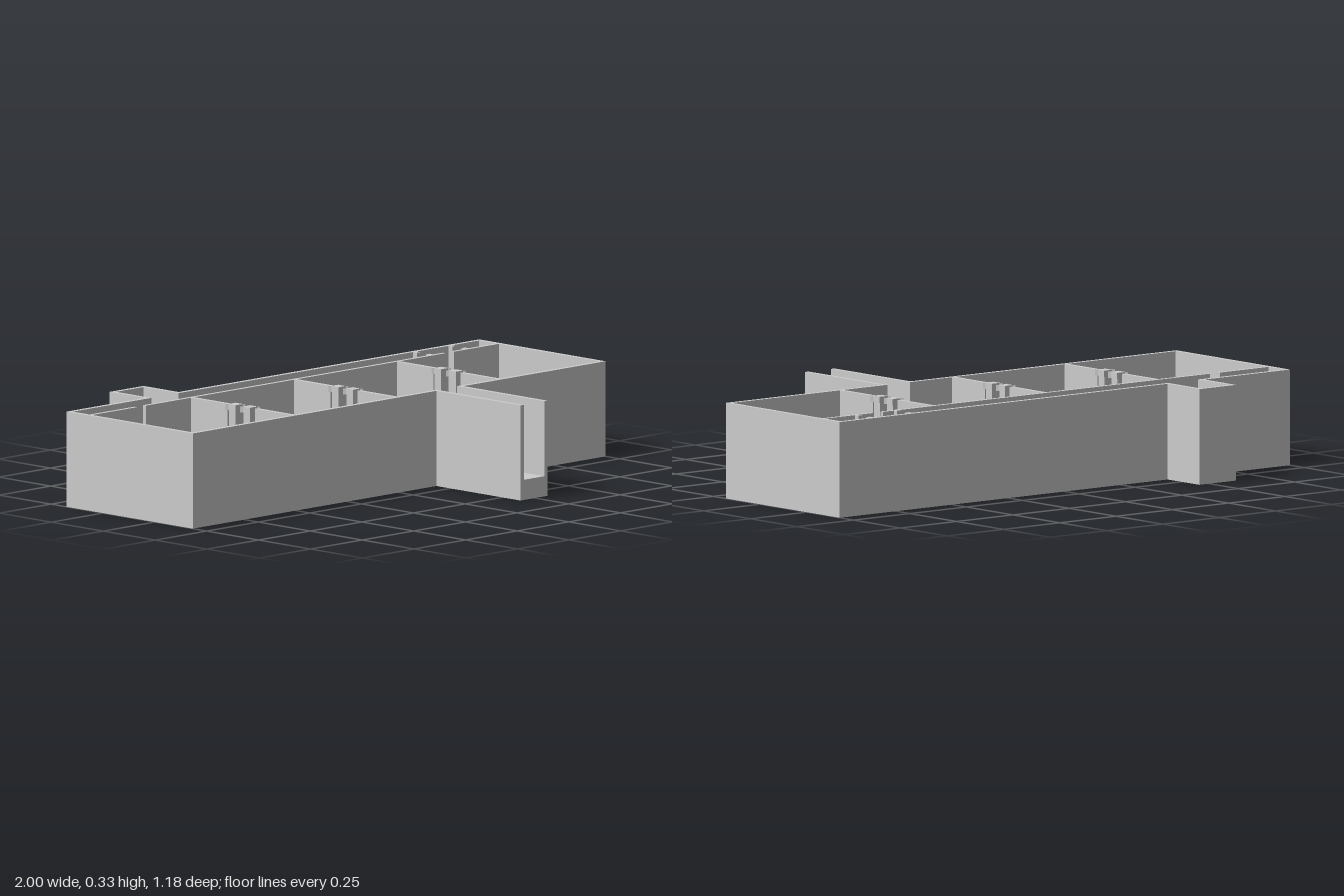
import * as THREE from 'three';

const TOP = 0.33, FLOOR = 0.07;
const material = new THREE.MeshStandardMaterial({ color: 0xcccccc, flatShading: true });

// Extrude a plan outline given as [x, z] pairs from y0 up to y1
function extrudePlan(name, points, y0, y1) {
  const shape = new THREE.Shape(points.map(([x, z]) => new THREE.Vector2(x, -z)));
  const geometry = new THREE.ExtrudeGeometry(shape, { depth: y1 - y0, bevelEnabled: false });
  geometry.rotateX(-Math.PI / 2).translate(0, y0, 0);
  const mesh = new THREE.Mesh(geometry, material);
  mesh.name = name;
  return mesh;
}

// Upright block over a rectangle of the plan
function block(name, x0, x1, z0, z1, y0 = FLOOR, y1 = TOP) {
  const mesh = new THREE.Mesh(new THREE.BoxGeometry(x1 - x0, y1 - y0, z1 - z0), material);
  mesh.position.set((x0 + x1) / 2, (y0 + y1) / 2, (z0 + z1) / 2);
  mesh.name = name;
  return mesh;
}

// Square pillar with projecting corners on its capital and base
function pillar(x, z) {
  const group = new THREE.Group();
  group.name = 'pillar';
  const r = 0.024, n = 0.018, c = 0.016;
  const plan = [];
  for (let i = 0; i < 4; i++) {
    const a = i * Math.PI / 2, cos = Math.cos(a), sin = Math.sin(a);
    for (const [px, pz] of [[r, r], [c, n], [-c, n]]) {
      plan.push([x + px * cos - pz * sin, z + px * sin + pz * cos]);
    }
  }
  const h = 0.018;
  group.add(
    extrudePlan('pillarBase', plan, FLOOR, FLOOR + h),
    block('pillarShaft', x - c, x + c, z - c, z + c, FLOOR + h, TOP - h),
    extrudePlan('pillarCapital', plan, TOP - h, TOP + 0.003));
  return group;
}

export function createModel() {
  const model = new THREE.Group();
  model.name = 'building';

  // Outline runs from one side of the open entrance passage round to the other
  const outer = [
    [0.312, 0.588], [0.312, 0.183], [1, 0.183], [1, -0.426], [-0.456, -0.426],
    [-0.456, -0.595], [-0.62, -0.595], [-0.62, -0.426], [-1, -0.426],
    [-1, 0.183], [0.18, 0.183], [0.18, 0.588]];
  const inner = [
    [0.196, 0.588], [0.196, 0.167], [-0.984, 0.167], [-0.984, -0.41], [-0.604, -0.41],
    [-0.604, -0.579], [-0.472, -0.579], [-0.472, -0.41], [0.984, -0.41],
    [0.984, 0.167], [0.296, 0.167], [0.296, 0.588]];
  model.add(extrudePlan('floorSlab', outer, 0, FLOOR));
  model.add(extrudePlan('outerWalls', [...outer, ...inner], FLOOR, TOP));

  // Corridor wall with two doorways
  for (const [x0, x1] of [[-0.984, -0.767], [-0.724, 0.727], [0.767, 0.984]]) {
    model.add(block('corridorWall', x0, x1, -0.33, -0.316));
  }

  // Door jambs across the corridor
  for (const x of [0.672, 0.844]) {
    model.add(block('corridorJamb', x - 0.008, x + 0.008, -0.41, -0.391));
    model.add(block('corridorJamb', x - 0.008, x + 0.008, -0.348, -0.33));
  }

  // Room dividers, each with a pair of pillars in its opening
  for (const x of [-0.498, 0, 0.498]) {
    model.add(block('dividerBack', x - 0.008, x + 0.008, -0.316, -0.14));
    model.add(block('dividerFront', x - 0.008, x + 0.008, -0.009, 0.167));
    model.add(pillar(x, -0.11), pillar(x, -0.04));
  }
  return model;
}
